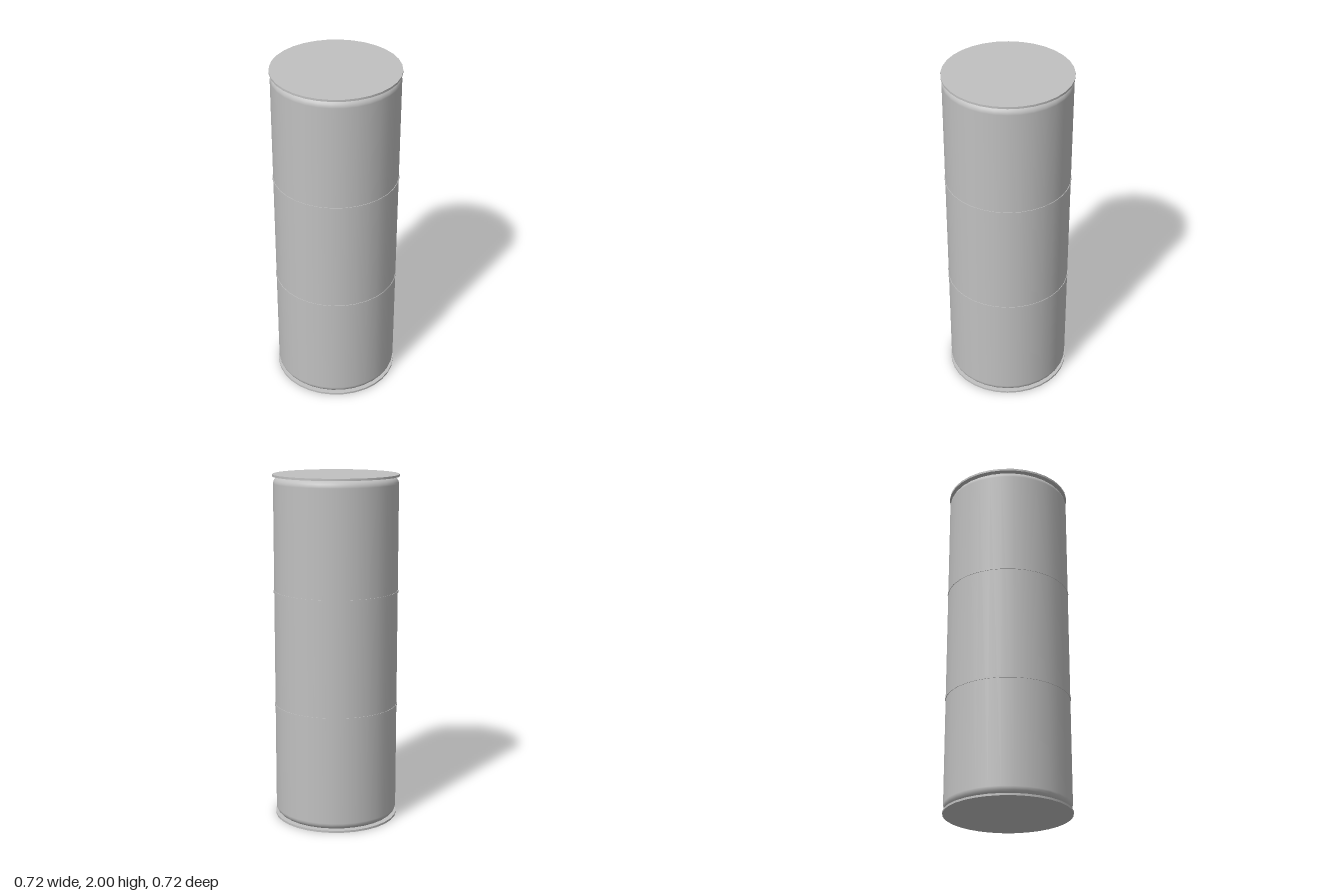
import * as THREE from 'three';

const SIDES = 32;
const BODY_RADIUS = 0.354;
const RIM_RADIUS = 0.358;

export function createModel() {
  const model = new THREE.Group();
  model.name = 'drum';
  const metal = new THREE.MeshStandardMaterial({ color: 0xc0c0c0 });
  metal.name = 'grey metal';

  const add = (name, geometry, y = 0) => {
    const mesh = new THREE.Mesh(geometry, metal);
    mesh.name = name;
    mesh.position.y = y;
    model.add(mesh);
  };

  // Body with rounded shoulders, profile from bottom centre to top centre
  const bottom = 0.012, top = 1.988, round = 0.04;
  const profile = [new THREE.Vector2(0, bottom)];
  const corner = (y, start) => {
    for (let i = 0; i <= 6; i++) {
      const a = start + (i / 6) * Math.PI / 2;
      profile.push(new THREE.Vector2(
        BODY_RADIUS - round + round * Math.cos(a), y + round * Math.sin(a)));
    }
  };
  corner(bottom + round, -Math.PI / 2);
  corner(top - round, 0);
  profile.push(new THREE.Vector2(0, top));
  add('body', new THREE.LatheGeometry(profile, SIDES));

  // Thin end discs
  const disc = new THREE.CylinderGeometry(RIM_RADIUS, RIM_RADIUS, 0.012, SIDES);
  add('bottomDisc', disc, 0.006);
  add('topDisc', disc, 1.994);

  // Two slim hoops around the body
  const hoop = new THREE.CylinderGeometry(RIM_RADIUS - 0.001, RIM_RADIUS - 0.001, 0.014, SIDES);
  add('lowerHoop', hoop, 0.67);
  add('upperHoop', hoop, 1.337);

  return model;
}
